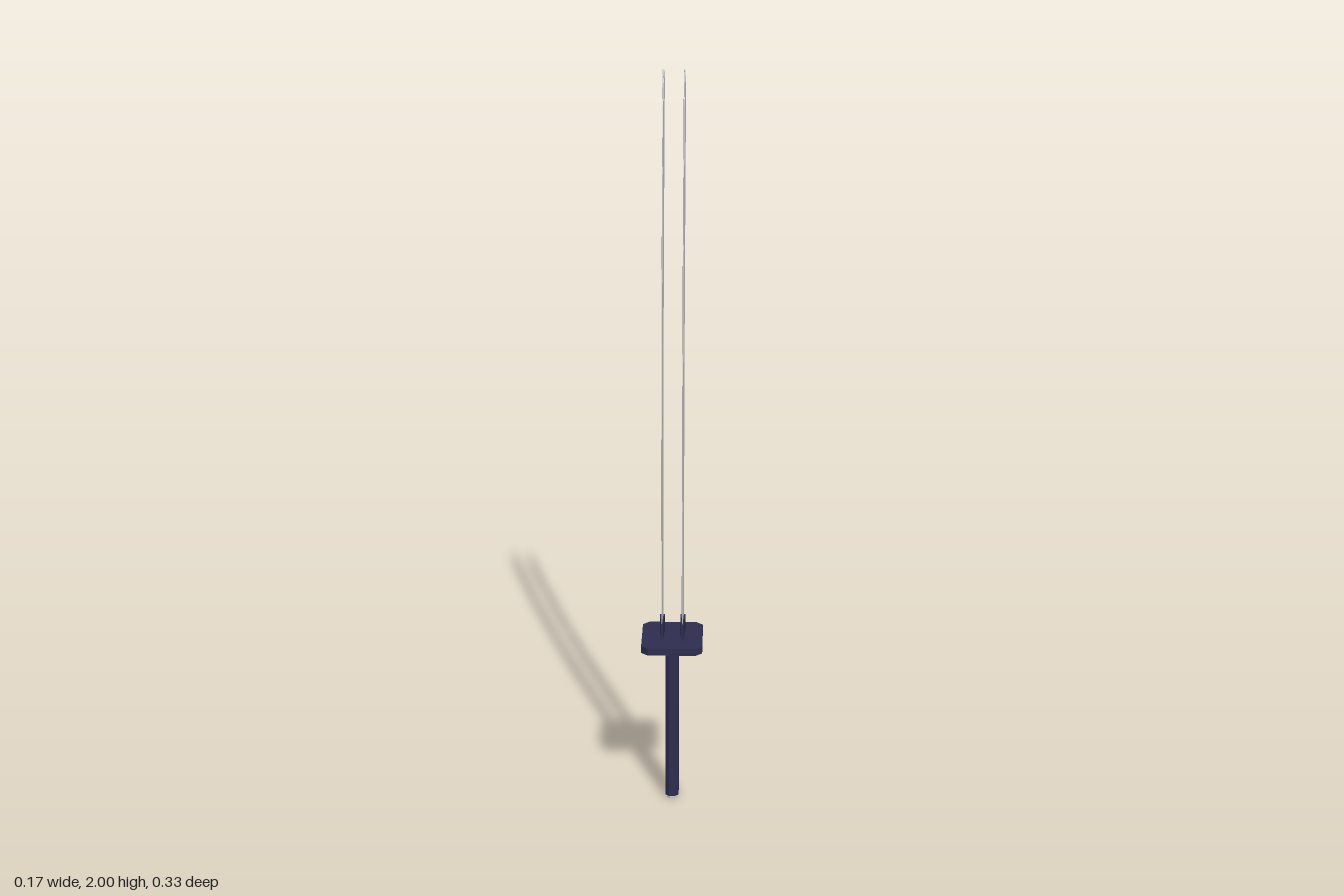
import * as THREE from 'three';

const navy = new THREE.MeshStandardMaterial({ name: 'navy', color: 0x2e2d50, flatShading: true });
const steel = new THREE.MeshStandardMaterial({ name: 'steel', color: 0xcccccc, flatShading: true });

const MID_Z = 0.0725; // centre line of the grip and guard

// Wedge-section loft: each row is [edgeZ, edgeY, spineZ, spineY]
function wedgeLoft(rows, spineHalf, edgeHalf) {
  const pos = [], idx = [];
  for (const [ez, ey, sz, sy] of rows) {
    pos.push(-spineHalf, sy, sz, spineHalf, sy, sz, edgeHalf, ey, ez, -edgeHalf, ey, ez);
  }
  for (let r = 0; r < rows.length - 1; r++) {
    for (let k = 0; k < 4; k++) {
      const a = r * 4 + k, b = r * 4 + (k + 1) % 4;
      idx.push(a, a + 4, b, b, a + 4, b + 4);
    }
  }
  const t = (rows.length - 1) * 4;
  idx.push(0, 1, 2, 0, 2, 3, t + 2, t + 1, t, t + 3, t + 2, t);
  const geo = new THREE.BufferGeometry();
  geo.setAttribute('position', new THREE.Float32BufferAttribute(pos, 3));
  geo.setIndex(idx);
  geo.computeVertexNormals();
  return geo;
}

// Upright block with an eight-sided, corner-cut plan
function cutBlock(name, material, halfX, halfZ, cut, y0, y1) {
  const shape = new THREE.Shape([
    [halfX - cut, -halfZ], [halfX, cut - halfZ], [halfX, halfZ - cut], [halfX - cut, halfZ],
    [cut - halfX, halfZ], [-halfX, halfZ - cut], [-halfX, cut - halfZ], [cut - halfX, -halfZ],
  ].map(([x, y]) => new THREE.Vector2(x, y)));
  const geo = new THREE.ExtrudeGeometry(shape, { depth: y1 - y0, bevelEnabled: false });
  geo.rotateX(-Math.PI / 2);
  geo.translate(0, y0, MID_Z);
  const mesh = new THREE.Mesh(geo, material);
  mesh.name = name;
  return mesh;
}

export function createModel() {
  const model = new THREE.Group();
  model.name = 'twinBladedSword';

  // Grip, end cap and guard
  model.add(
    cutBlock('endCap', steel, 0.014, 0.03, 0.008, 0, 0.012),
    cutBlock('grip', navy, 0.018, 0.033, 0.009, 0.01, 0.466),
    cutBlock('guard', navy, 0.083, 0.0925, 0.018, 0.464, 0.484),
  );

  // Curved blade, sharp towards the front, ending in a point
  const bladeGeo = wedgeLoft([
    [0.108, 0.48, 0.042, 0.48],
    [0.108, 0.70, 0.038, 0.68],
    [0.094, 1.00, 0.022, 1.00],
    [0.064, 1.25, -0.001, 1.235],
    [0.027, 1.51, -0.038, 1.485],
    [-0.037, 1.785, -0.094, 1.735],
    [-0.074, 1.92, -0.127, 1.86],
    [-0.116, 1.967, -0.148, 1.94],
    [-0.163, 2.0, -0.164, 1.999],
  ], 0.003, 0.0007);

  // Collar round the foot of each blade
  const collarGeo = wedgeLoft([
    [0.11, 0.48, 0.036, 0.48],
    [0.11, 0.532, 0.036, 0.532],
  ], 0.007, 0.003);

  for (const [side, x] of [['left', 0.028], ['right', -0.028]]) {
    const blade = new THREE.Mesh(bladeGeo, steel);
    blade.name = side + 'Blade';
    const collar = new THREE.Mesh(collarGeo, navy);
    collar.name = side + 'Collar';
    blade.position.x = collar.position.x = x;
    model.add(blade, collar);
  }
  return model;
}
